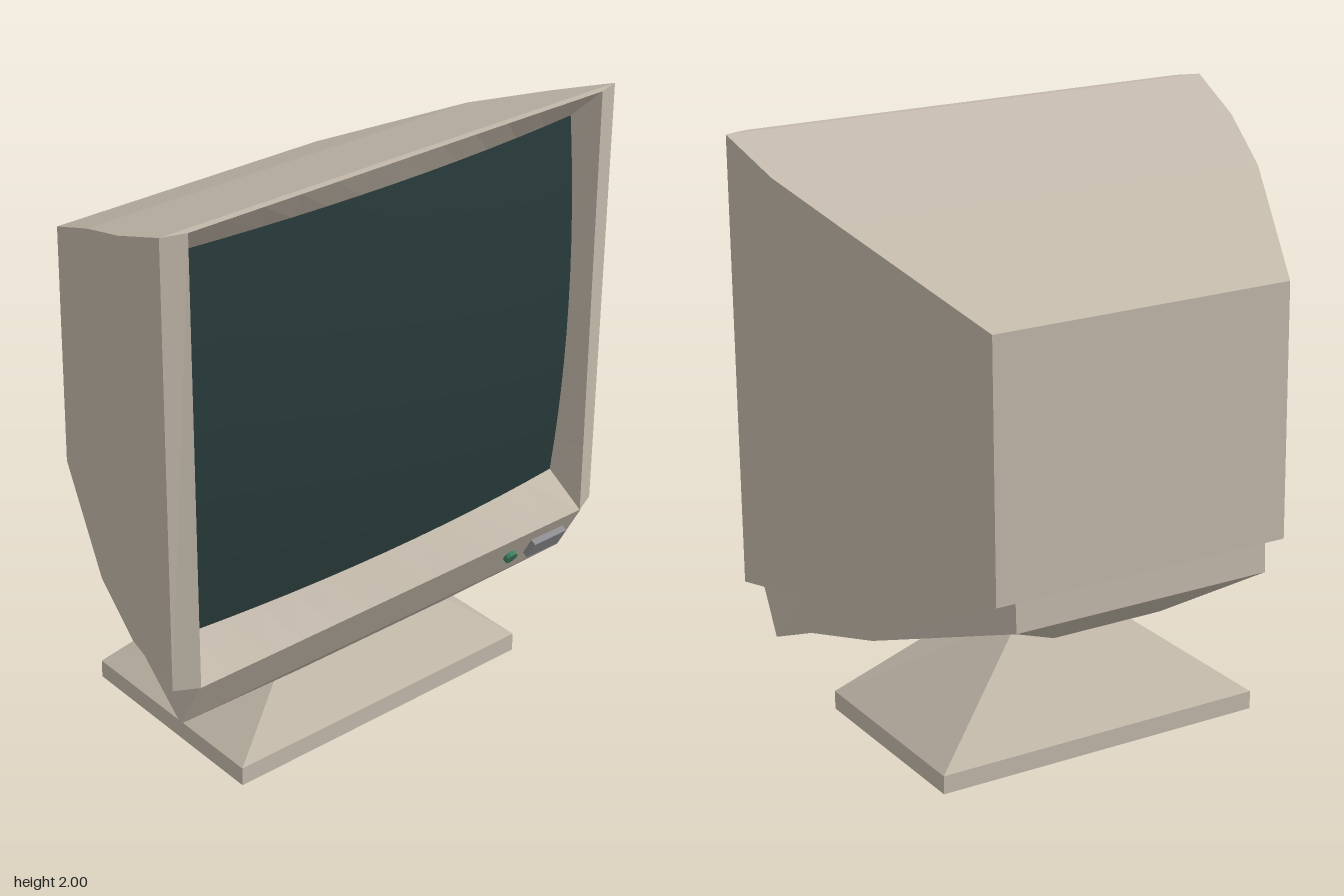
import * as THREE from 'three';

const mat = (color, flatShading = true) => new THREE.MeshStandardMaterial({ color, flatShading });

// Skin mirrored rings (front to back, each counter-clockwise from its top -x corner).
function loft(rings, capFront, capBack) {
  const n = rings[0].length, index = [];
  for (let i = 0; i < rings.length - 1; i++) {
    for (let j = 0; j < n; j++) {
      const k = (j + 1) % n;
      const a = i * n + j, b = i * n + k, c = b + n, d = a + n;
      index.push(a, d, c, a, c, b);
    }
  }
  // Caps join each ring point with its mirrored partner
  const last = (rings.length - 1) * n;
  for (let j = 0; j < n / 2 - 1; j++) {
    const a = j, b = j + 1, c = n - 2 - j, d = n - 1 - j;
    if (capFront) index.push(a, b, c, a, c, d);
    if (capBack) index.push(last + a, last + c, last + b, last + a, last + d, last + c);
  }
  const geo = new THREE.BufferGeometry();
  geo.setAttribute('position', new THREE.Float32BufferAttribute(rings.flat(2), 3));
  geo.setIndex(index);
  const flat = geo.toNonIndexed();
  flat.computeVertexNormals();
  return flat;
}

// Rectangular ring with n points per side; z may differ at top and bottom.
function rectRing(hw, yTop, yBot, zTop, zBot, n = 1, bulge = 0) {
  const corners = [[-hw, yTop, zTop], [-hw, yBot, zBot], [hw, yBot, zBot], [hw, yTop, zTop]];
  const ring = [];
  corners.forEach((p, s) => {
    const q = corners[(s + 1) % 4];
    for (let i = 0; i < n; i++) {
      const t = i / n;
      const v = p.map((c, k) => c + (q[k] - c) * t);
      v[2] += bulge * 4 * t * (1 - t);
      ring.push(v);
    }
  });
  // close the mirrored pairing: the ring begins and ends at the top edge
  return ring;
}

export function createModel() {
  const model = new THREE.Group();
  const beige = mat(0xc2b8aa);
  const add = (name, geo, material, parent = model) => {
    const mesh = new THREE.Mesh(geo, material);
    mesh.name = name;
    parent.add(mesh);
    return mesh;
  };

  // Housing: bezel and tapering tube cover
  const N = 12, bulge = 0.04;
  const coverRings = [
    rectRing(0.80, 2.0, 0.51, 0.515, 0.53),
    rectRing(0.88, 2.0, 0.515, 0.49, 0.495),
    rectRing(0.845, 1.91, 0.555, 0.25, 0.25),
    rectRing(0.755, 1.805, 0.60, -0.03, -0.03),
    rectRing(0.53, 1.57, 0.72, -0.52, -0.53),
  ];
  add('tubeCover', loft(coverRings, false, true), beige);
  add('bezel', loft([
    rectRing(0.765, 1.9, 0.63, 0.42, 0.415, N, bulge),
    rectRing(0.80, 2.0, 0.51, 0.515, 0.53, N),
  ]), beige);

  // Bulging glass
  const glass = new THREE.PlaneGeometry(1.53, 1.27, N, N);
  const pos = glass.attributes.position;
  for (let i = 0; i < pos.count; i++) {
    const u = pos.getX(i) / 0.765, v = pos.getY(i) / 0.635;
    pos.setZ(i, 0.4175 + 0.0025 * v + bulge * (2 - u * u - v * v));
  }
  glass.translate(0, 1.265, 0);
  glass.computeVertexNormals();
  add('screen', glass, mat(0x283a3a, false));

  // Lower housing: each section is top, chine and keel as [half width, y, z]
  const sections = [
    [[0.805, 0.51, 0.53], [0.805, 0.325, 0.43], [0.30, 0.28, 0.39]],
    [[0.77, 0.565, 0.25], [0.77, 0.40, 0.25], [0.30, 0.33, 0.27]],
    [[0.69, 0.61, -0.03], [0.69, 0.46, -0.03], [0.25, 0.40, -0.03]],
    [[0.46, 0.725, -0.525], [0.46, 0.62, -0.53], [0.20, 0.465, -0.32]],
  ];
  const lowerRings = sections.map((s) => [
    ...s.map(([x, y, z]) => [-x, y, z]),
    ...[...s].reverse(),
  ]);
  add('lowerHousing', loft(lowerRings, true, true), beige);

  // Controls on the sloping front panel
  const controls = new THREE.Group();
  controls.name = 'controls';
  controls.position.set(0, 0.418, 0.482);
  controls.rotation.x = Math.atan2(0.10, 0.185);
  model.add(controls);
  const lamp = add('powerLamp', new THREE.CylinderGeometry(0.024, 0.024, 0.03, 12), mat(0x3f8060), controls);
  lamp.rotation.x = Math.PI / 2;
  lamp.position.x = 0.525;
  const button = add('powerButton', new THREE.BoxGeometry(0.145, 0.075, 0.04), mat(0x8c8c90), controls);
  button.position.x = 0.682;

  // Foot: slightly tilted slab with a tapering neck
  const slab = loft([
    rectRing(0.588, 0.065, 0, 0.455, 0.455),
    rectRing(0.588, 0.075, 0.012, -0.295, -0.295),
  ], true, true);
  add('footSlab', slab, beige);
  const neck = loft([
    [[-0.12, 0.40, 0.205], [-0.588, 0.065, 0.455], [0.588, 0.065, 0.455], [0.12, 0.40, 0.205]],
    [[-0.15, 0.41, -0.02], [-0.588, 0.075, -0.295], [0.588, 0.075, -0.295], [0.15, 0.41, -0.02]],
  ], true, true);
  add('footNeck', neck, beige);

  return model;
}
